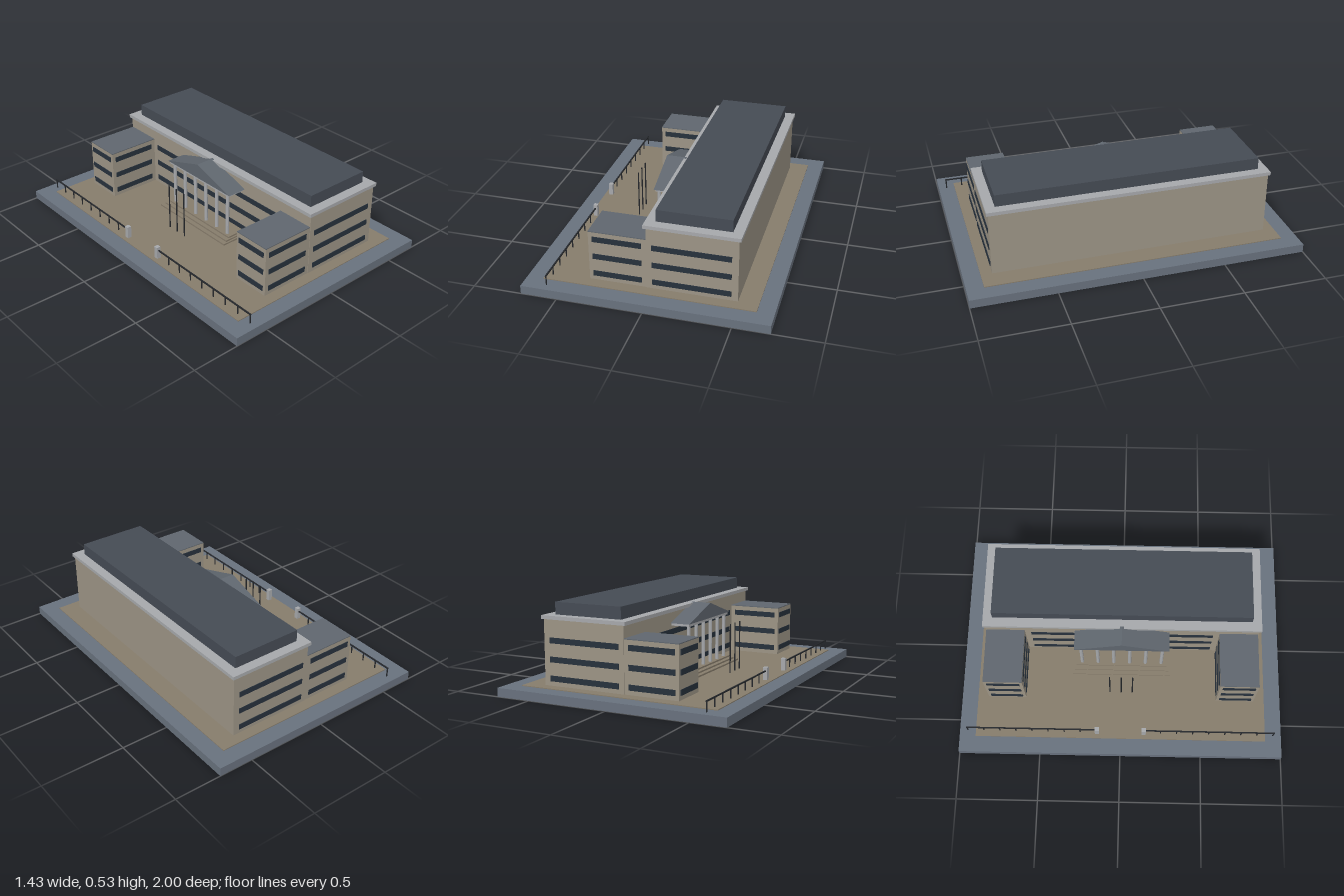
import * as THREE from 'three';

const mat = (color) => new THREE.MeshStandardMaterial({ color, flatShading: true });
const M = {
  base: mat(0x68717d), plaza: mat(0x867c6b), wall: mat(0x9c9485), trim: mat(0xa6a8ab),
  roof: mat(0x454b54), slate: mat(0x5f666e), glass: mat(0x27313c), metal: mat(0x25282c),
};

export function createModel() {
  const model = new THREE.Group();

  // Box given by its extents on each axis
  const box = (name, m, x0, x1, y0, y1, z0, z1, parent = model) => {
    const mesh = new THREE.Mesh(new THREE.BoxGeometry(x1 - x0, y1 - y0, z1 - z0), m);
    mesh.position.set((x0 + x1) / 2, (y0 + y1) / 2, (z0 + z1) / 2);
    mesh.name = name;
    parent.add(mesh);
    return mesh;
  };
  const rod = (name, m, r, x, y0, y1, z, parent = model, sides = 12) => {
    const mesh = new THREE.Mesh(new THREE.CylinderGeometry(r, r, y1 - y0, sides), m);
    mesh.position.set(x, (y0 + y1) / 2, z);
    mesh.name = name;
    parent.add(mesh);
  };

  // Ground
  box('base', M.base, -0.713, 0.713, 0, 0.052, -1, 1);
  box('plaza', M.plaza, -0.615, 0.615, 0.052, 0.057, -0.9, 0.9);

  // Main block with cornice and roof
  box('mainBlock', M.wall, -0.022, 0.498, 0.057, 0.44, -0.835, 0.835);
  box('cornice', M.trim, -0.036, 0.51, 0.44, 0.461, -0.845, 0.845);
  box('mainRoof', M.roof, 0.022, 0.452, 0.461, 0.533, -0.787, 0.787);

  // Strip windows on three floors
  const floors = [0.083, 0.193, 0.303];
  for (const y of floors) box('frontWindow', M.glass, -0.026, -0.02, y, y + 0.033, -0.56, 0.56);

  for (const s of [-1, 1]) {
    const span = (a, b) => [Math.min(s * a, s * b), Math.max(s * a, s * b)];

    // Side wing
    const wing = new THREE.Group();
    wing.name = s > 0 ? 'wingPositiveZ' : 'wingNegativeZ';
    model.add(wing);
    box('wingWalls', M.wall, -0.358, -0.02, 0.057, 0.363, ...span(0.597, 0.832), wing);
    box('wingRoof', M.slate, -0.358, -0.022, 0.363, 0.368, ...span(0.597, 0.832), wing);
    for (const y of floors) {
      box('mainEndWindow', M.glass, 0.01, 0.46, y, y + 0.033, ...span(0.83, 0.839), wing);
      box('wingEndWindow', M.glass, -0.335, -0.05, y, y + 0.033, ...span(0.826, 0.836), wing);
      box('wingFaceWindow', M.glass, -0.362, -0.355, y, y + 0.033, ...span(0.615, 0.815), wing);
      box('wingInnerWindow', M.glass, -0.335, -0.05, y, y + 0.033, ...span(0.593, 0.6), wing);
    }

    // Gate pier and railing
    const fence = new THREE.Group();
    fence.name = 'fence';
    model.add(fence);
    box('gatePier', M.trim, -0.588, -0.562, 0.052, 0.132, ...span(0.132, 0.158), fence);
    box('rail', M.metal, -0.579, -0.571, 0.106, 0.113, ...span(0.158, 0.955), fence);
    for (let i = 0; i < 8; i++) {
      rod('railPost', M.metal, 0.004, -0.575, 0.052, 0.11, s * (0.95 - i * 0.1), fence, 8);
    }
  }

  // Portico: steps, columns, beam and gabled roof
  const portico = new THREE.Group();
  portico.name = 'portico';
  model.add(portico);
  for (let i = 0; i < 3; i++) {
    box('step', M.plaza, -0.2 + i * 0.027, -0.022, 0.057 + i * 0.01, 0.067 + i * 0.01,
      -0.308 + i * 0.01, 0.308 - i * 0.01, portico);
  }
  for (let i = 0; i < 6; i++) {
    rod('column', M.trim, 0.011, -0.122, 0.087, 0.36, -0.25 + i * 0.1, portico);
  }
  box('beam', M.trim, -0.138, -0.022, 0.356, 0.372, -0.275, 0.275, portico);
  const gable = new THREE.Shape([
    new THREE.Vector2(-0.29, 0.372), new THREE.Vector2(0.29, 0.372), new THREE.Vector2(0, 0.465),
  ]);
  const pediment = new THREE.Mesh(
    new THREE.ExtrudeGeometry(gable, { depth: 0.123, bevelEnabled: false }), M.slate);
  pediment.rotation.y = Math.PI / 2;
  pediment.position.x = -0.145;
  pediment.name = 'pediment';
  portico.add(pediment);

  // Flagpoles in the forecourt
  for (const z of [-0.07, 0, 0.07]) rod('flagpole', M.metal, 0.004, -0.312, 0.057, 0.355, z, model, 8);

  return model;
}
